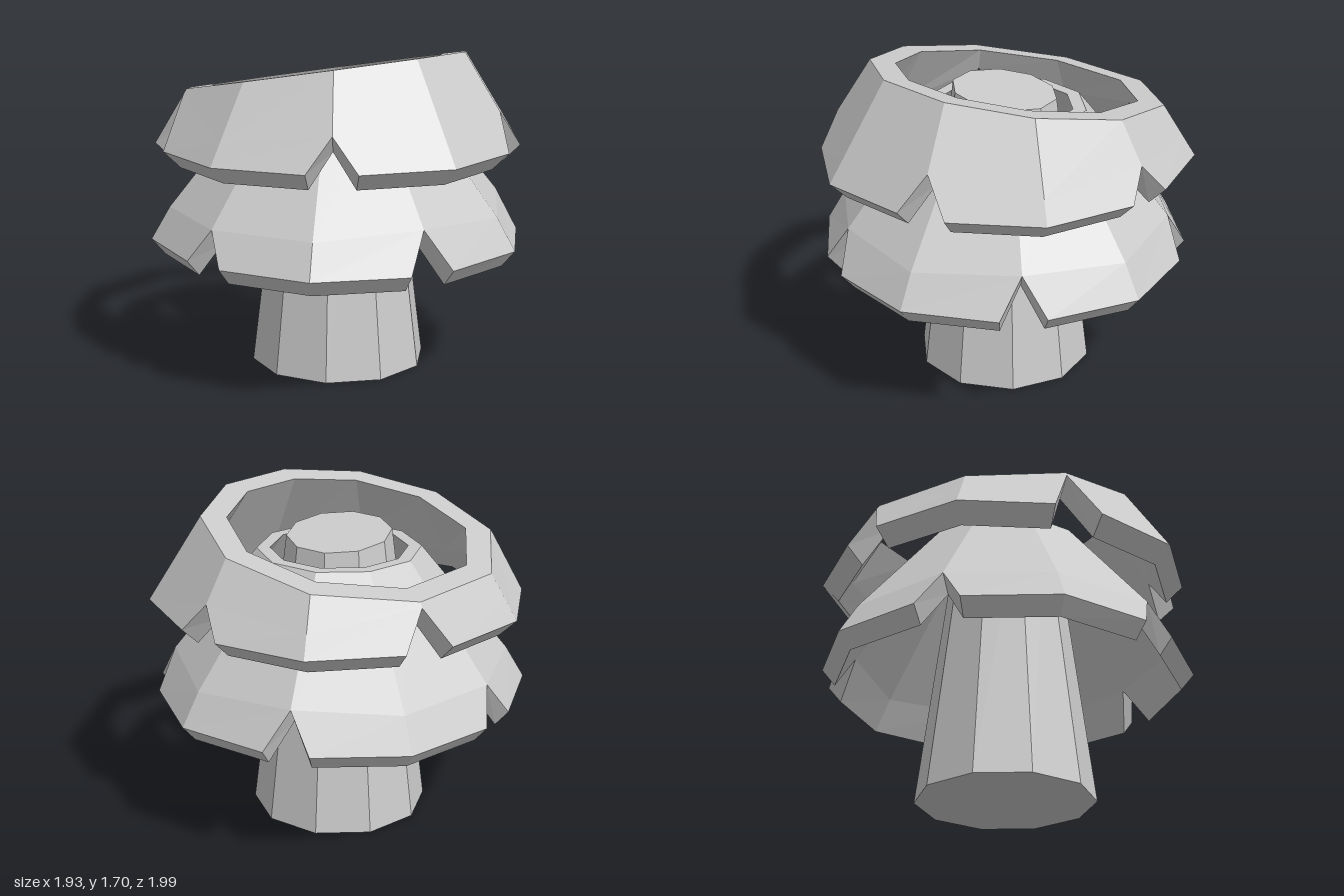
import * as THREE from 'three';

const material = new THREE.MeshStandardMaterial({ color: 0xcccccc, flatShading: true });
const RAD = Math.PI / 180;

// Point at an angle (degrees, from +x towards +z), radius and height
const polar = (deg, r, y) => [r * Math.cos(deg * RAD), y, r * Math.sin(deg * RAD)];

// Thick ten-sided skirt made of five petals, parted by V notches at every second corner.
// radiusAt(y): outer profile; topAt(deg): height of the cut at the top
function skirt(name, o) {
  const pos = [];
  const quad = (a, b, c, d) => pos.push(...a, ...b, ...c, ...a, ...c, ...d);

  // One corner column: lower edge, bend or notch tip, top; outside and inside
  const column = (deg, edgeDeg, edgeScale, bendY) => {
    const topY = o.topAt(deg);
    const edgeR = o.radiusAt(o.bottom) * edgeScale;
    const bendR = o.radiusAt(bendY);
    const topR = o.radiusAt(topY);
    const innerTopR = topR - o.rim;
    return {
      outer: [polar(edgeDeg, edgeR, o.bottom), polar(deg, bendR, bendY), polar(deg, topR, topY)],
      inner: [
        polar(edgeDeg, edgeR - o.inset, o.bottom - o.drop),
        polar(deg, bendR - o.inset, bendY - o.drop),
        polar(deg, innerTopR, topY - o.tilt * o.rim * Math.cos(deg * RAD)),
      ],
    };
  };

  for (let k = 0; k < 5; k++) {
    const a = o.start + 72 * k;
    const cols = [
      column(a, a + o.notch, 0.969, o.tips[k]),
      column(a + 36, a + 36, 1, o.bend),
      column(a + 72, a + 72 - o.notch, 0.969, o.tips[(k + 1) % 5]),
    ];
    for (let i = 0; i < 2; i++) {
      const p = cols[i], q = cols[i + 1];
      for (let j = 0; j < 2; j++) {
        quad(q.outer[j], p.outer[j], p.outer[j + 1], q.outer[j + 1]);
        quad(p.inner[j], q.inner[j], q.inner[j + 1], p.inner[j + 1]);
      }
      quad(p.outer[0], q.outer[0], q.inner[0], p.inner[0]); // lower rim
      quad(q.outer[2], p.outer[2], p.inner[2], q.inner[2]); // top rim
    }
    // Notch walls
    const f = cols[0], l = cols[2];
    quad(f.outer[0], f.inner[0], f.inner[1], f.outer[1]);
    quad(l.outer[1], l.inner[1], l.inner[0], l.outer[0]);
  }

  const geometry = new THREE.BufferGeometry();
  geometry.setAttribute('position', new THREE.Float32BufferAttribute(pos, 3));
  geometry.computeVertexNormals();
  const mesh = new THREE.Mesh(geometry, material);
  mesh.name = name;
  return mesh;
}

// Tapered trunk with a slightly slanted top
function trunk() {
  const height = 1.53;
  const geometry = new THREE.CylinderGeometry(0.275, 0.47, height, 10);
  geometry.translate(0, height / 2, 0);
  const p = geometry.attributes.position;
  for (let i = 0; i < p.count; i++) {
    if (p.getY(i) > height / 2) p.setY(i, height + 0.05 * p.getX(i) + 0.1 * p.getZ(i));
  }
  geometry.computeVertexNormals();
  const mesh = new THREE.Mesh(geometry, material);
  mesh.name = 'trunk';
  return mesh;
}

export function createModel() {
  const group = new THREE.Group();
  group.name = 'tree';
  group.add(trunk());

  group.add(skirt('lowerFoliage', {
    start: 18, notch: 7, bottom: 0.7, bend: 0.87,
    tips: [0.9, 0.87, 0.88, 0.9, 0.9],
    inset: 0.07, drop: 0.085, rim: 0.07, tilt: 0,
    radiusAt: (y) => (y < 0.87 ? 1 - 0.59 * (y - 0.7) : 0.9 - 0.81 * (y - 0.87)),
    topAt: () => 1.45,
  }));

  // The upper foliage is cut off by a slanted plane
  const tilt = 0.184, slope = 0.64;
  group.add(skirt('upperFoliage', {
    start: 48, notch: 7.5, bottom: 1.21, bend: 1.32,
    tips: [1.38, 1.48, 1.4, 1.36, 1.4],
    inset: 0.09, drop: 0.09, rim: 0.135, tilt,
    radiusAt: (y) => 0.995 - slope * (y - 1.21),
    topAt: (deg) => {
      const c = tilt * Math.cos(deg * RAD);
      return (1.58 + c * (0.995 + slope * 1.21)) / (1 + c * slope);
    },
  }));
  return group;
}
